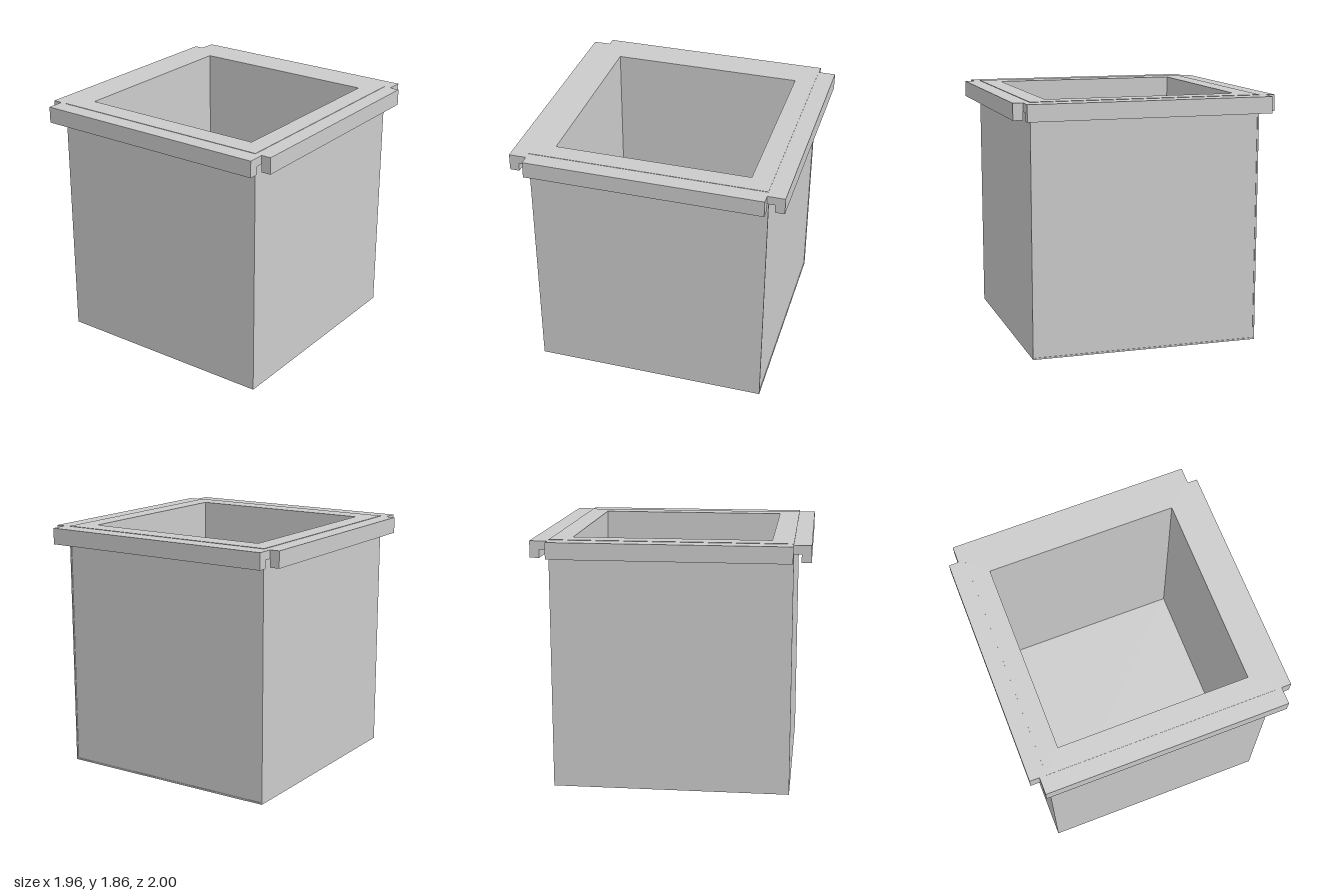
import * as THREE from 'three';

const material = new THREE.MeshStandardMaterial({ color: 0xcccccc, flatShading: true });

function add(parent, name, geometry, x = 0, y = 0, z = 0) {
  const mesh = new THREE.Mesh(geometry, material);
  mesh.name = name;
  mesh.position.set(x, y, z);
  parent.add(mesh);
  return mesh;
}

function rectangle(Type, x0, y0, x1, y1) {
  const path = new Type();
  path.moveTo(x0, y0).lineTo(x1, y0).lineTo(x1, y1).lineTo(x0, y1).closePath();
  return path;
}

// Hooked rim strip: a thin shelf with a lip hanging from its outer edge
function rimGeometry(inner, lip, outer, length) {
  const shape = new THREE.Shape();
  shape.moveTo(inner, 1.79);
  shape.lineTo(lip, 1.79);
  shape.lineTo(lip, 1.73);
  shape.lineTo(outer, 1.73);
  shape.lineTo(outer, 1.852);
  shape.lineTo(inner, 1.852);
  shape.closePath();
  const geometry = new THREE.ExtrudeGeometry(shape, { depth: length, bevelEnabled: false });
  return geometry.translate(0, 0, -length / 2);
}

export function createModel() {
  const group = new THREE.Group();
  const halfX = 0.86, front = 0.875, back = 0.87, floor = 0.14, top = 1.855;

  // Thick walls around a square well
  const plan = rectangle(THREE.Shape, -halfX, -front, halfX, back);
  plan.holes.push(rectangle(THREE.Path, -0.717, -0.717, 0.717, 0.72));
  const walls = new THREE.ExtrudeGeometry(plan, { depth: top - floor, bevelEnabled: false });
  walls.rotateX(-Math.PI / 2);
  add(group, 'walls', walls, 0, floor, 0);

  // Floor slab
  add(group, 'floor', new THREE.BoxGeometry(halfX * 2, floor, front + back), 0, floor / 2, (front - back) / 2);

  // Narrow raised border on the back wall
  const border = new THREE.Group();
  border.name = 'backBorder';
  group.add(border);
  for (const s of [-1, 1]) {
    add(border, 'sideBorder', new THREE.BoxGeometry(0.012, 1.79, 0.006), s * (halfX - 0.006), 0.895, -back - 0.002);
  }
  add(border, 'bottomBorder', new THREE.BoxGeometry(halfX * 2, 0.012, 0.006), 0, 0.006, -back - 0.002);

  // Four rim strips, open at the corners
  const rims = [
    ['leftRim', 0, 0.855, 0.91, 0.982, 1.746],
    ['backRim', 1, 0.865, 0.93, 1, 1.82],
    ['rightRim', 2, 0.855, 0.91, 0.982, 1.746],
    ['frontRim', 3, 0.865, 0.93, 1, 1.82],
  ];
  for (const [name, turn, inner, lip, outer, length] of rims) {
    add(group, name, rimGeometry(inner, lip, outer, length)).rotation.y = turn * Math.PI / 2;
  }

  return group;
}
